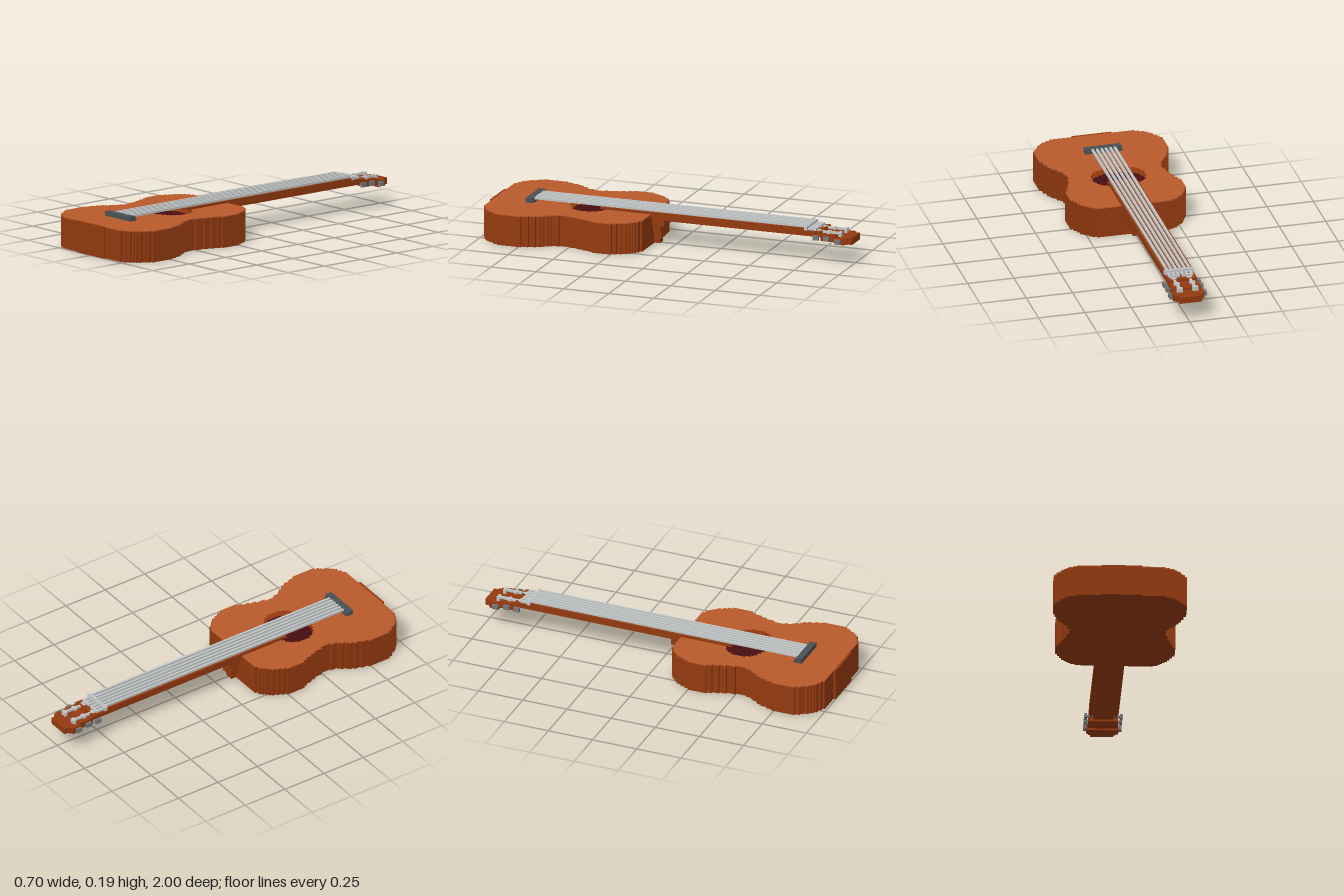
import * as THREE from 'three';

const U = 0.012; // block size of the stepped style
const CX = -0.006; // neck and strings sit half a block off centre

const mat = (name, color) => {
  const m = new THREE.MeshStandardMaterial({ color });
  m.name = name;
  return m;
};

// Piecewise linear lookup in [z, value] pairs
function lookup(pts, z) {
  for (let i = 1; i < pts.length; i++) {
    const [a, va] = pts[i - 1], [b, vb] = pts[i];
    if (z <= b) return va + (vb - va) * Math.max(0, (z - a) / (b - a));
  }
  return pts[pts.length - 1][1];
}

// Stepped outline, symmetric about cx, with the half width given for each row
function steppedPoints(z0, z1, rows, halfWidth, cx = 0) {
  const right = [], left = [], d = (z1 - z0) / rows;
  for (let i = 0; i < rows; i++) {
    const a = z0 + i * d, w = Math.round(halfWidth(a + d / 2) / U) * U;
    right.push(new THREE.Vector2(cx + w, -a), new THREE.Vector2(cx + w, -a - d));
    left.push(new THREE.Vector2(cx - w, -a), new THREE.Vector2(cx - w, -a - d));
  }
  return right.concat(left.reverse());
}

// Upright slab from an outline, between two heights
function slab(points, y0, y1, hole) {
  const shape = new THREE.Shape(points);
  if (hole) shape.holes.push(new THREE.Path(hole));
  const g = new THREE.ExtrudeGeometry(shape, { depth: y1 - y0, bevelEnabled: false });
  g.rotateX(-Math.PI / 2);
  g.translate(0, y0, 0);
  return g;
}

export function createModel() {
  const guitar = new THREE.Group();
  guitar.name = 'guitar';
  const wood = mat('dark wood', 0x93390f);
  const topWood = mat('top wood', 0xb9592b);
  const inside = mat('sound hole red', 0x470d10);
  const steel = mat('string silver', 0xc2c5c5);
  const peg = mat('peg grey', 0x74797b);
  const charcoal = mat('bridge charcoal', 0x4a5052);

  const add = (name, geometry, material) => {
    const m = new THREE.Mesh(geometry, material);
    m.name = name;
    guitar.add(m);
    return m;
  };
  const box = (name, material, x0, x1, y0, y1, z0, z1) => {
    const m = add(name, new THREE.BoxGeometry(x1 - x0, y1 - y0, z1 - z0), material);
    m.position.set((x0 + x1) / 2, (y0 + y1) / 2, (z0 + z1) / 2);
    return m;
  };

  // Body with a recessed sound hole
  const profile = [
    [0.115, 0.185], [0.13, 0.22], [0.16, 0.26], [0.2, 0.285], [0.25, 0.307],
    [0.35, 0.307], [0.4, 0.287], [0.46, 0.265], [0.5, 0.257], [0.56, 0.257],
    [0.6, 0.275], [0.65, 0.312], [0.72, 0.335], [0.75, 0.345], [0.86, 0.345],
    [0.9, 0.325], [0.94, 0.295], [0.97, 0.255], [0.988, 0.216],
  ];
  const outline = steppedPoints(0.115, 0.988, 73, (z) => Math.min(0.345, lookup(profile, z)));
  const holeZ = 0.465, holeRX = 0.148, holeRZ = 0.113;
  const hole = steppedPoints(holeZ - holeRZ, holeZ + holeRZ, 19,
    (z) => holeRX * Math.sqrt(Math.max(0, 1 - ((z - holeZ) / (holeRZ + 0.003)) ** 2)), CX);
  add('bodyBase', slab(outline, 0, 0.132), wood);
  add('bodyRim', slab(outline, 0.132, 0.163, hole), wood);
  add('soundboard', slab(outline, 0.163, 0.168, hole), topWood);
  add('soundHoleFloor', slab(hole, 0.132, 0.135), inside);
  box('tailBlock', wood, -0.107, 0.107, 0, 0.168, 0.988, 1);

  // Stepped heel, narrowing towards the back of the body
  [[0, 0.03, 0.024, 0.085], [0.03, 0.065, 0.036, 0.073], [0.065, 0.1, 0.048, 0.073],
    [0.1, 0.132, 0.06, 0.05]].forEach(([y0, y1, w, z]) =>
    box('heel', wood, CX - w, CX + w, y0, y1, z, 0.12));

  // Neck and fretboard
  box('neckBack', wood, CX - 0.054, CX + 0.054, 0.132, 0.144, -0.83, 0.12);
  box('neck', wood, CX - 0.078, CX + 0.078, 0.144, 0.168, -0.83, 0.12);
  box('fretboard', wood, CX - 0.078, CX + 0.078, 0.168, 0.18, -0.74, 0.4);

  // Headstock, dropping in steps towards a rounded tip
  box('headstock', wood, CX - 0.078, CX + 0.078, 0.12, 0.156, -0.915, -0.83);
  const tip = steppedPoints(-1, -0.915, 7,
    (z) => lookup([[-1, 0.055], [-0.98, 0.066], [-0.965, 0.078], [-0.9, 0.078]], z), CX);
  add('headstockTip', slab(tip, 0.11, 0.145), wood);

  // Nut, bridge and saddle
  box('nut', steel, CX - 0.078, CX + 0.078, 0.168, 0.189, -0.757, -0.738);
  box('bridge', charcoal, CX - 0.1, CX + 0.1, 0.168, 0.18, 0.762, 0.806);
  box('saddle', charcoal, CX - 0.1, CX + 0.1, 0.18, 0.192, 0.77, 0.806);

  // Six strings, stepping down onto the headstock to their posts
  for (let i = 0; i < 6; i++) {
    const k = i - 2.5, x = CX + k * 0.024;
    box('string', steel, x - U / 2, x + U / 2, 0.18, 0.192, -0.75, 0.772);
    const n = i < 3 ? i : 5 - i;
    const postZ = [-0.81, -0.868, -0.93][n];
    const px = CX + Math.sign(k) * 0.042;
    box('headString', steel, x - U / 2, x + U / 2, 0.168, 0.18, -0.79, -0.75);
    box('stringTurn', steel, Math.min(x, px) - U / 2, Math.max(x, px) + U / 2, 0.168, 0.18, -0.802, -0.79);
    box('headStringEnd', steel, px - U / 2, px + U / 2, 0.156, 0.168, postZ, -0.79);
    box('post', steel, px - 0.015, px + 0.015, 0.14, 0.169, postZ - 0.008, postZ + 0.008);
  }

  // Tuning pegs, three on each side
  for (const side of [-1, 1]) {
    for (const z of [-0.81, -0.868, -0.93]) {
      const y = z < -0.915 ? 0.128 : 0.138;
      const a = CX + side * 0.07, b = CX + side * 0.1;
      box('pegShaft', peg, Math.min(a, b), Math.max(a, b), y - 0.006, y + 0.006, z - 0.006, z + 0.006);
      const c = CX + side * 0.093;
      box('pegButton', peg, c - 0.007, c + 0.007, y - 0.012, y + 0.012, z - 0.016, z + 0.016);
    }
  }
  return guitar;
}
